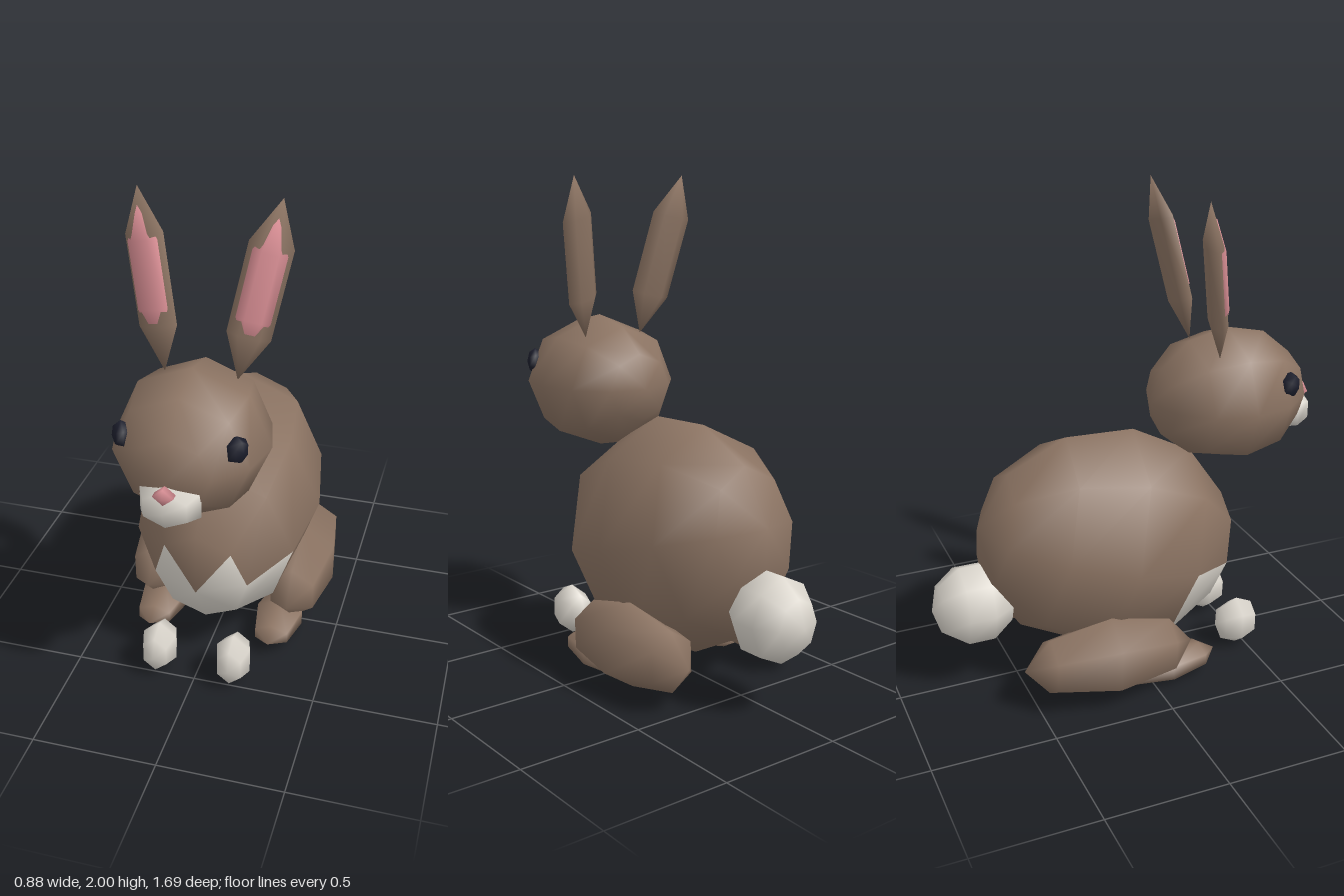
import * as THREE from 'three';

const mat = (name, color) => {
  const m = new THREE.MeshStandardMaterial({ color });
  m.name = name;
  return m;
};

export function createModel() {
  const brown = mat('brown fur', 0x8c7463);
  const white = mat('white fur', 0xdcd7ce);
  const pink = mat('pink skin', 0xdb9096);
  const dark = mat('dark eye', 0x1c1e2c);

  const model = new THREE.Group();
  model.name = 'rabbit';

  // Low-poly ellipsoid with its poles on z and a vertex on top
  const ellipsoid = (rx, ry, rz, seg, rings) =>
    new THREE.SphereGeometry(1, seg, rings, Math.PI / 2).rotateX(Math.PI / 2).scale(rx, ry, rz);

  const add = (name, geo, material, pos, rot = [0, 0, 0], parent = model) => {
    const mesh = new THREE.Mesh(geo, material);
    mesh.name = name;
    mesh.position.set(...pos);
    mesh.rotation.set(...rot);
    parent.add(mesh);
    return mesh;
  };

  // Body, with a white chest made of the lower faces round the front pole
  const bodyGeo = ellipsoid(0.385, 0.488, 0.57, 8, 6);
  bodyGeo.clearGroups();
  const cuts = [0, 9, 15, 36, 60, 72, bodyGeo.index.count];
  for (let i = 0; i + 1 < cuts.length; i++) {
    bodyGeo.addGroup(cuts[i], cuts[i + 1] - cuts[i], i % 2 ? 0 : 1);
  }
  add('body', bodyGeo, [brown, white], [0, 0.565, -0.09], [0.26, 0, 0]);

  // Tail
  add('tail', ellipsoid(0.158, 0.18, 0.175, 8, 5), white, [0, 0.38, -0.67]);

  // Head and face
  add('head', ellipsoid(0.3, 0.285, 0.338, 8, 6), brown, [0, 1.135, 0.452]);
  add('muzzle', ellipsoid(0.132, 0.1, 0.095, 6, 4), white, [0, 1.032, 0.742]);
  add('nose', ellipsoid(0.045, 0.037, 0.03, 4, 3), pink, [0, 1.097, 0.812]);

  for (const s of [1, -1]) {
    const side = s > 0 ? 'left' : 'right';

    add(side + 'Eye', ellipsoid(0.05, 0.056, 0.035, 6, 4), dark,
      [s * 0.215, 1.215, 0.635], [0, s * 1.05, 0]);

    // Ear: long shell with a smaller pink inside set forward
    const ear = new THREE.Group();
    ear.name = side + 'Ear';
    ear.position.set(s * 0.205, 1.672, 0.288);
    ear.rotation.set(-0.187, s * 0.25, s * -0.19, 'XZY');
    add('earShell', new THREE.SphereGeometry(1, 6, 3).scale(0.096, 0.344, 0.042), brown, [0, 0, 0], [0, 0, 0], ear);
    add('innerEar', new THREE.SphereGeometry(1, 6, 3).scale(0.075, 0.255, 0.03), pink, [0, 0.02, 0.018], [0, 0, 0], ear);
    model.add(ear);

    // Legs
    add(side + 'FrontPaw', ellipsoid(0.08, 0.11, 0.1, 6, 4), white, [s * 0.157, 0.12, 0.46]);
    add(side + 'Haunch', ellipsoid(0.152, 0.172, 0.365, 6, 4), brown, [s * 0.308, 0.193, -0.195], [0.04, 0, 0]);
    add(side + 'HindFoot', ellipsoid(0.113, 0.062, 0.23, 6, 4), brown, [s * 0.26, 0.067, 0.07], [-0.06, 0, 0]);
  }
  return model;
}
